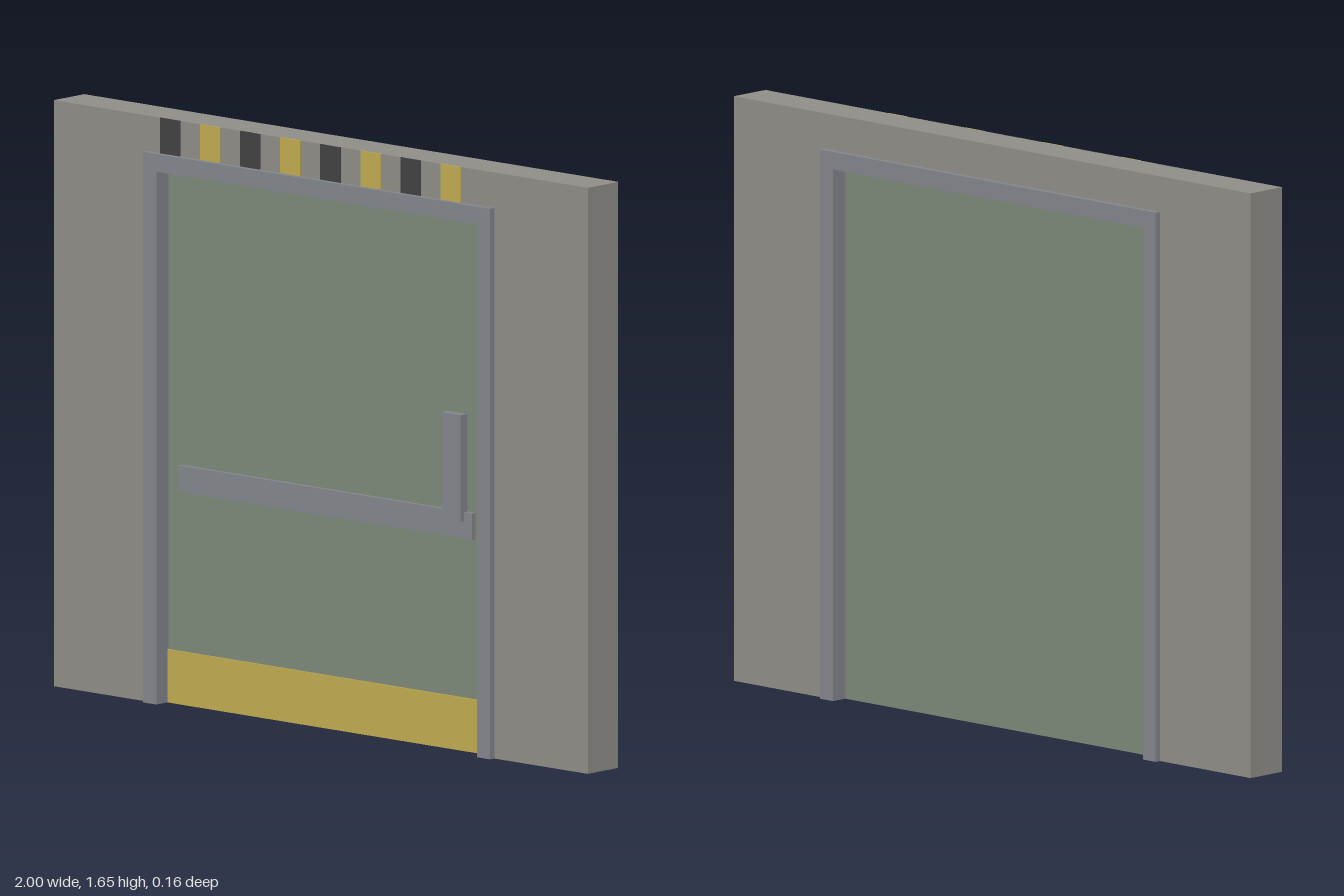
import * as THREE from 'three';

const material = (color) => new THREE.MeshStandardMaterial({ color });

export function createModel() {
  const model = new THREE.Group();
  const concrete = material(0x8f8d87);
  const steel = material(0x82858b);
  const green = material(0x7c8878);
  const yellow = material(0xc0aa50);
  const dark = material(0x424242);

  // Box given by its limits on each axis
  const box = (name, mat, [x0, x1], [y0, y1], [z0, z1], parent = model) => {
    const mesh = new THREE.Mesh(new THREE.BoxGeometry(x1 - x0, y1 - y0, z1 - z0), mat);
    mesh.position.set((x0 + x1) / 2, (y0 + y1) / 2, (z0 + z1) / 2);
    mesh.name = name;
    parent.add(mesh);
  };

  // Arch-like outline, open at the floor, extruded evenly about z = 0
  const portal = (name, mat, outerX, outerY, innerX, innerY, depth) => {
    const shape = new THREE.Shape([
      [-outerX, 0], [-innerX, 0], [-innerX, innerY], [innerX, innerY],
      [innerX, 0], [outerX, 0], [outerX, outerY], [-outerX, outerY],
    ].map(([x, y]) => new THREE.Vector2(x, y)));
    const geometry = new THREE.ExtrudeGeometry(shape, { depth, bevelEnabled: false });
    geometry.translate(0, 0, -depth / 2);
    const mesh = new THREE.Mesh(geometry, mat);
    mesh.name = name;
    model.add(mesh);
  };

  // Wall with doorway, and the frame standing proud of it on both faces
  portal('wall', concrete, 1, 1.65, 0.65, 1.55, 0.125);
  portal('doorFrame', steel, 0.65, 1.55, 0.6, 1.5, 0.16);

  // Recessed door with its front fittings
  const door = new THREE.Group();
  door.name = 'door';
  model.add(door);
  box('doorPanel', green, [-0.6, 0.6], [0, 1.5], [-0.03, 0.03], door);
  box('kickPlate', yellow, [-0.6, 0.6], [0, 0.15], [0.03, 0.035], door);
  box('pushBar', steel, [-0.55, 0.55], [0.6, 0.675], [0.03, 0.044], door);
  box('handle', steel, [0.45, 0.52], [0.65, 0.95], [0.03, 0.06], door);

  // Alternating warning stripes over the doorway
  const stripes = new THREE.Group();
  stripes.name = 'warningStripes';
  model.add(stripes);
  for (let i = 0; i < 8; i++) {
    const x = -0.6 + i * 0.15;
    box('stripe', i % 2 ? yellow : dark, [x, x + 0.075], [1.55, 1.65], [0.06, 0.065], stripes);
  }

  return model;
}
